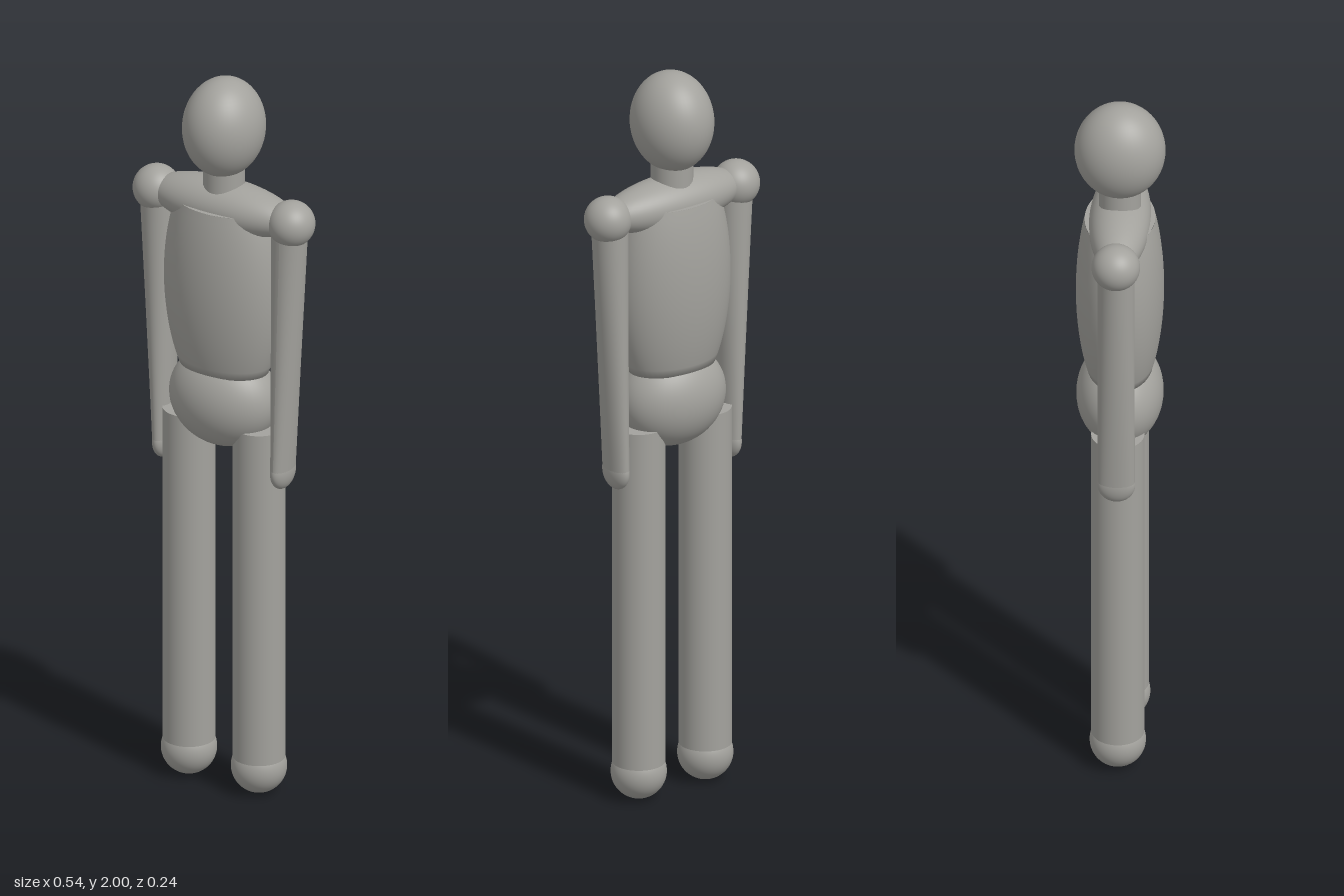
import * as THREE from 'three';

const grey = new THREE.MeshStandardMaterial({ color: 0xa3a29d });
grey.name = 'warm grey';

export function createModel() {
  const model = new THREE.Group();

  const add = (name, geometry, x, y, sx = 1, sy = 1, sz = 1) => {
    const mesh = new THREE.Mesh(geometry, grey);
    mesh.name = name;
    mesh.position.set(x, y, 0);
    mesh.scale.set(sx, sy, sz);
    model.add(mesh);
    return mesh;
  };
  const ball = new THREE.SphereGeometry(1, 48, 32);

  // Head and neck
  add('head', ball, 0, 1.865, 0.105, 0.135, 0.118);
  add('neck', new THREE.CylinderGeometry(0.055, 0.055, 0.12, 40), 0, 1.735);

  // Shoulder yoke, an ellipsoid running between the shoulder joints
  add('shoulders', ball, 0, 1.643, 0.222, 0.07, 0.08);

  // Barrel torso: elliptical in section, with closed flat ends
  const profile = [new THREE.Vector2(0, 1.185)];
  for (let i = 0; i <= 20; i++) {
    const y = 1.185 + (1.65 - 1.185) * i / 20;
    profile.push(new THREE.Vector2(Math.sqrt(1 - ((y - 1.43) / 0.368) ** 2), y));
  }
  add('torso', new THREE.LatheGeometry(profile, 48), 0, 0, 0.17, 1, 0.114);
  const cap = new THREE.CircleGeometry(Math.sqrt(1 - (0.22 / 0.368) ** 2), 48).rotateX(-Math.PI / 2);
  add('torsoTop', cap, 0, 1.6505, 0.17, 1, 0.114);

  // Pelvis
  add('pelvis', ball, 0, 1.1, 0.153, 0.135, 0.113);

  // Arm: narrows in width but keeps its depth, and leans in towards the hand
  const armTop = 1.61, armBottom = 0.935;
  const arm = new THREE.CylinderGeometry(0.048, 0.048, armTop - armBottom, 40, 10);
  const p = arm.attributes.position;
  for (let i = 0; i < p.count; i++) {
    const t = 0.5 - p.getY(i) / (armTop - armBottom);
    p.setX(i, p.getX(i) * (1 - 0.49 * t) - 0.02 * t);
  }
  arm.computeVertexNormals();
  const leg = new THREE.CylinderGeometry(0.069, 0.069, 0.94, 40);

  for (const [side, s] of [['left', 1], ['right', -1]]) {
    add(side + 'ShoulderJoint', ball, s * 0.208, 1.64, 0.062, 0.062, 0.063);
    const limb = add(side + 'Arm', arm, s * 0.202, (armTop + armBottom) / 2);
    if (s < 0) limb.rotation.y = Math.PI;
    add(side + 'Hand', ball, s * 0.182, 0.931, 0.025, 0.05, 0.049);
    add(side + 'Leg', leg, s * 0.108, 0.57);
    add(side + 'Foot', ball, s * 0.108, 0.073, 0.073, 0.073, 0.073);
  }
  return model;
}
